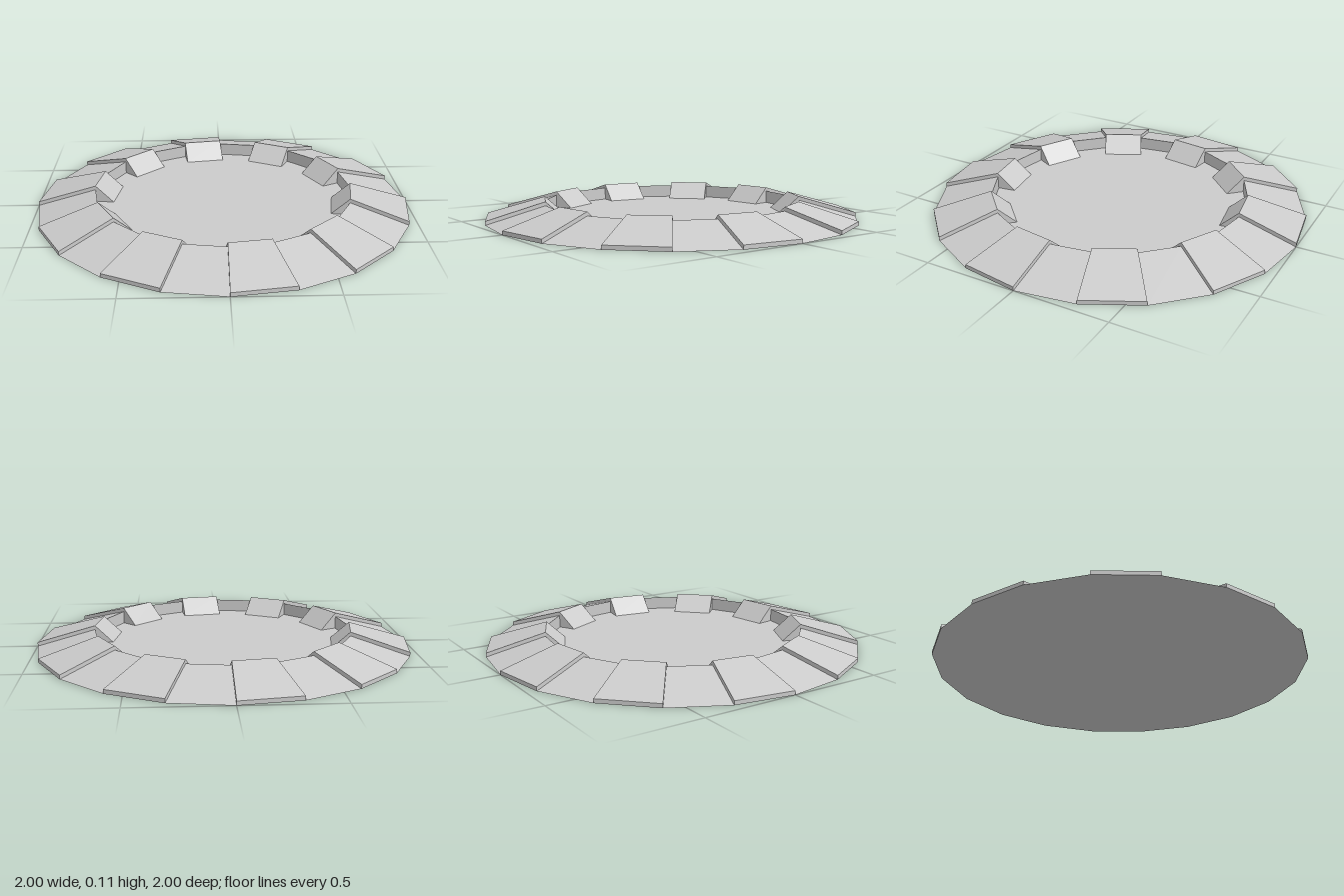
import * as THREE from 'three';

const SIDES = 20;
const STEP = (Math.PI * 2) / SIDES;
const OUTER = 1, INNER = 0.69;
const RIM = 0.088, LIFT = 0.021, FLOOR = 0.02, FLAP = 0.097;

const material = new THREE.MeshStandardMaterial({ color: 0xcccccc, flatShading: true });

// Point at a radius, height and angle, measured from +z towards +x
const polar = (r, y, angle) => new THREE.Vector3(r * Math.sin(angle), y, r * Math.cos(angle));

// Closed solid between two matching convex end outlines
function loft(a, b) {
  const pos = [];
  const tri = (...pts) => pts.forEach((p) => pos.push(p.x, p.y, p.z));
  const n = a.length;
  for (let i = 0; i < n; i++) {
    const j = (i + 1) % n;
    tri(a[i], b[i], b[j]);
    tri(a[i], b[j], a[j]);
  }
  for (let i = 1; i < n - 1; i++) {
    tri(a[0], a[i], a[i + 1]);
    tri(b[0], b[i + 1], b[i]);
  }
  const geometry = new THREE.BufferGeometry();
  geometry.setAttribute('position', new THREE.Float32BufferAttribute(pos, 3));
  geometry.computeVertexNormals();
  return geometry;
}

function addMesh(parent, name, geometry) {
  const mesh = new THREE.Mesh(geometry, material);
  mesh.name = name;
  parent.add(mesh);
}

export function createModel() {
  const model = new THREE.Group();
  model.name = 'segmentedRing';

  // Sunken floor inside the ring
  const floor = new THREE.CylinderGeometry(INNER, INNER, FLOOR, SIDES);
  floor.translate(0, FLOOR / 2, 0);
  addMesh(model, 'floor', floor);

  // Sloping ring segments, every other one raised and fitted with an inner flap
  const lowProfile = [[OUTER, 0], [INNER, RIM], [INNER, 0]];
  const raisedProfile = [[OUTER, 0], [OUTER, LIFT], [INNER, RIM + LIFT], [INNER, 0]];
  for (let k = 0; k < SIDES; k++) {
    const start = k * STEP, end = start + STEP;
    const raised = k % 2 === 0;
    const profile = raised ? raisedProfile : lowProfile;
    const section = (angle) => profile.map(([r, y]) => polar(r, y, angle));
    addMesh(model, raised ? 'raisedSegment' : 'lowSegment', loft(section(start), section(end)));

    if (raised) {
      // Wedge with a rectangular plan, falling from the rim to the floor
      const inward = polar(-FLAP, 0, start + STEP / 2);
      const wedge = (angle) => [
        polar(INNER, FLOOR, angle),
        polar(INNER, RIM + LIFT, angle),
        polar(INNER, FLOOR, angle).add(inward),
      ];
      addMesh(model, 'innerFlap', loft(wedge(start), wedge(end)));
    }
  }
  return model;
}
